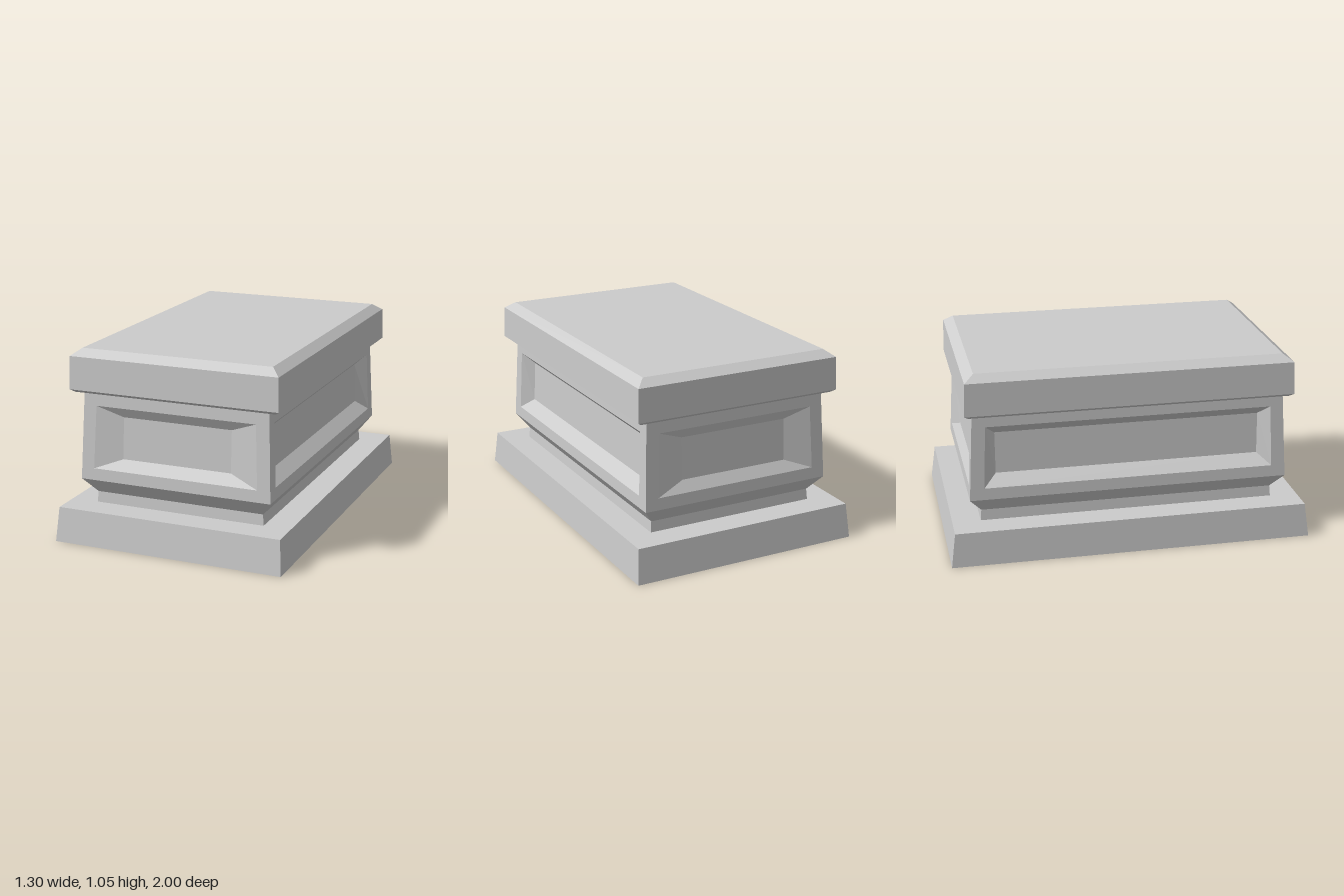
import * as THREE from 'three';

const material = new THREE.MeshStandardMaterial({ color: 0xcccccc, flatShading: true });

// Skins a series of four-cornered loops, optionally closing the first and last.
function loft(name, loops, capStart, capEnd) {
  const pos = [];
  const quad = (a, b, c, d) => pos.push(...a, ...b, ...c, ...a, ...c, ...d);
  for (let k = 0; k < loops.length - 1; k++) {
    const a = loops[k], b = loops[k + 1];
    for (let i = 0; i < 4; i++) {
      const j = (i + 1) % 4;
      quad(a[i], a[j], b[j], b[i]);
    }
  }
  if (capStart) quad(...[...loops[0]].reverse());
  if (capEnd) quad(...loops[loops.length - 1]);
  const geometry = new THREE.BufferGeometry();
  geometry.setAttribute('position', new THREE.Float32BufferAttribute(pos, 3));
  geometry.computeVertexNormals();
  const mesh = new THREE.Mesh(geometry, material);
  mesh.name = name;
  return mesh;
}

// Horizontal rectangle: half width, half length, height.
const ring = ([x, z, y]) => [[x, y, z], [x, y, -z], [-x, y, -z], [-x, y, z]];

// Body walls taper from Y0 to Y1.
const Y0 = 0.335, Y1 = 0.815;
const taper = (low, high, y) => THREE.MathUtils.mapLinear(y, Y0, Y1, low, high);
const HALF_X = [0.545, 0.526], HALF_Z = [0.88, 0.853];

// Tapered wall facing +z with a bevelled, sunken panel.
function panelWall(name, half, dist, outer, inner, depth) {
  const loop = (bottom, top, y0, y1, inset) => {
    const z0 = taper(...dist, y0) - inset, z1 = taper(...dist, y1) - inset;
    return [[-bottom, y0, z0], [bottom, y0, z0], [top, y1, z1], [-top, y1, z1]];
  };
  return loft(name, [
    loop(half[0], half[1], Y0, Y1, 0),
    loop(outer[0], outer[1], 0.40, 0.745, 0),
    loop(inner, inner, 0.46, 0.69, depth),
  ], false, true);
}

export function createModel() {
  const group = new THREE.Group();
  group.name = 'pedestal';

  group.add(loft('base', [[0.65, 1, 0], [0.635, 0.975, 0.19]].map(ring), true, true));

  // Narrow neck flaring out to the body
  group.add(loft('neck', [
    [0.485, 0.82, 0.19], [0.48, 0.815, 0.25], [0.545, 0.88, Y0],
  ].map(ring), false, false));

  // Four panelled walls
  ['front', 'right', 'back', 'left'].forEach((side, i) => {
    const wall = i % 2
      ? panelWall(side + 'Wall', HALF_Z, HALF_X, [0.80, 0.785], 0.73, 0.062)
      : panelWall(side + 'Wall', HALF_X, HALF_Z, [0.47, 0.455], 0.31, 0.033);
    wall.rotation.y = -i * Math.PI / 2;
    group.add(wall);
  });

  // Bevelled cap slab
  group.add(loft('capSlab', [
    [0.57, 0.875, Y1], [0.592, 0.898, 0.832], [0.588, 0.891, 1.012], [0.538, 0.838, 1.05],
  ].map(ring), true, true));

  return group;
}
